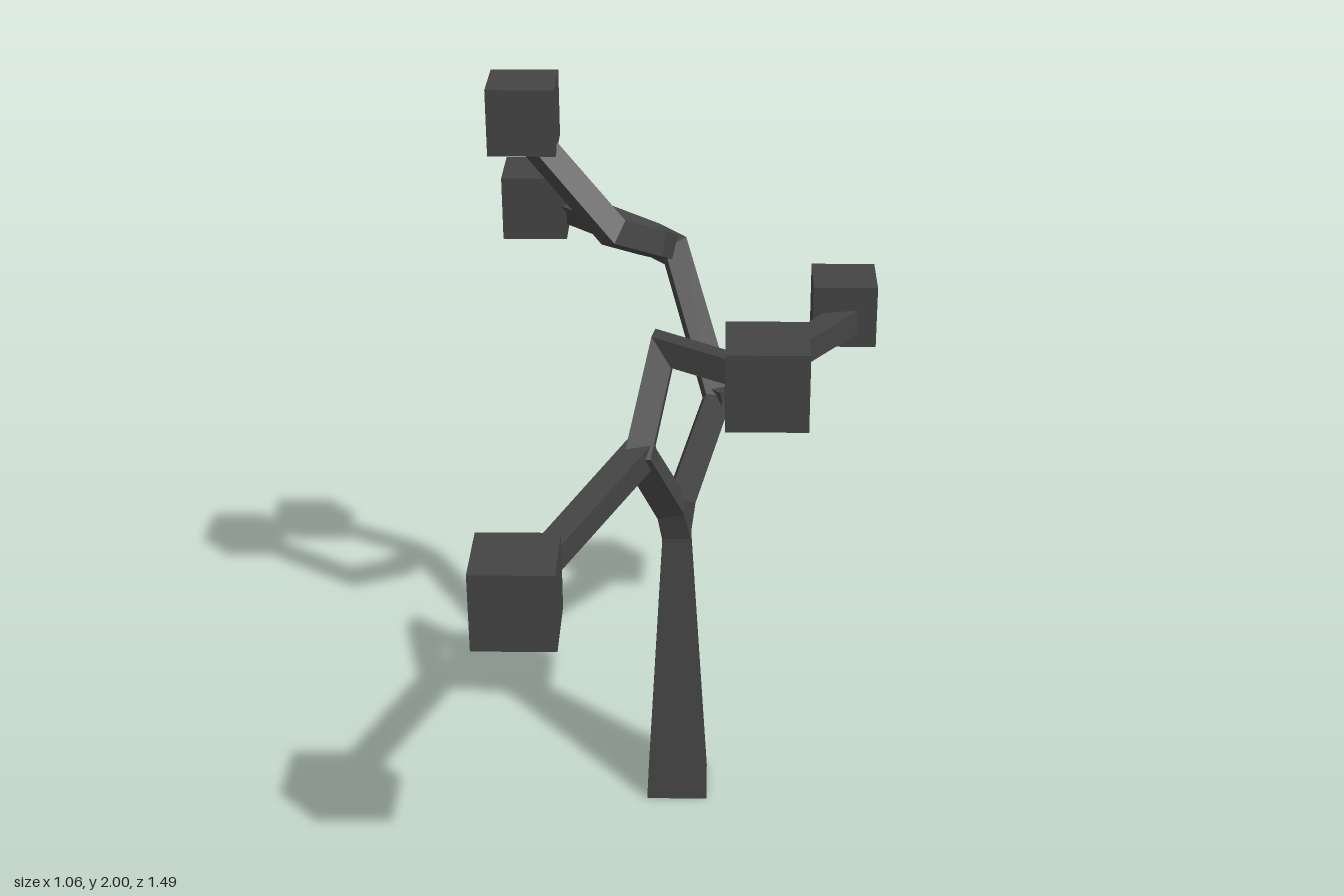
import * as THREE from 'three';

const V = (p) => new THREE.Vector3(...p);

// Square beam swept along a path with mitred bends; half = half-width at each point
function beam(path, half, sideHint) {
  const pts = path.map(V);
  const n = pts.length;
  const dirs = pts.slice(1).map((p, i) => p.clone().sub(pts[i]).normalize());
  const s = sideHint ? V(sideHint) : dirs[0].clone().cross(new THREE.Vector3(0, 1, 0));
  s.addScaledVector(dirs[0], -s.dot(dirs[0])).normalize();
  const u = dirs[0].clone().cross(s);
  // unit corner offsets, carried from one mitre plane to the next
  let offs = [[1, 1], [-1, 1], [-1, -1], [1, -1]].map(([a, b]) =>
    s.clone().multiplyScalar(a).addScaledVector(u, b));
  const rings = pts.map((p, i) => {
    if (i > 0) {
      const t = dirs[i - 1];
      const m = t.clone().add(dirs[Math.min(i, n - 2)]).normalize();
      offs = offs.map((o) => o.clone().addScaledVector(t, -o.dot(m) / t.dot(m)));
    }
    return offs.map((o) => p.clone().addScaledVector(o, half[i]));
  });
  const pos = [];
  const tri = (...v) => v.forEach((q) => pos.push(q.x, q.y, q.z));
  for (let i = 0; i < n - 1; i++) {
    for (let j = 0; j < 4; j++) {
      const k = (j + 1) % 4;
      const [a, b, c, d] = [rings[i][j], rings[i][k], rings[i + 1][k], rings[i + 1][j]];
      tri(a, b, c);
      tri(a, c, d);
    }
  }
  const [f, l] = [rings[0], rings[n - 1]];
  tri(f[0], f[2], f[1]);
  tri(f[0], f[3], f[2]);
  tri(l[0], l[1], l[2]);
  tri(l[0], l[2], l[3]);
  const geo = new THREE.BufferGeometry();
  geo.setAttribute('position', new THREE.Float32BufferAttribute(pos, 3));
  geo.computeVertexNormals();
  return geo;
}

export function createModel() {
  const tree = new THREE.Group();
  tree.name = 'tree';
  const mat = new THREE.MeshStandardMaterial({ color: 0x444444, flatShading: true });
  const add = (name, geo) => {
    const mesh = new THREE.Mesh(geo, mat);
    mesh.name = name;
    tree.add(mesh);
    return mesh;
  };

  // Joints of the skeleton
  const fork = [-0.03, 0.83, 0];
  const frontJoint = [-0.125, 1.14, 0.15];
  const backJoint = [0.08, 1.19, -0.1];
  const highJoint = [-0.04, 1.48, -0.43];

  // Foliage cubes: centre and edge length
  const cubes = {
    topFoliage: [[-0.44, 1.912, -0.318], 0.18],
    backFoliage: [[-0.44, 1.55, -0.655], 0.18],
    frontLeftFoliage: [[0.205, 1.378, 0.177], 0.213],
    backLeftFoliage: [[0.437, 1.275, -0.535], 0.18],
    frontRightFoliage: [[-0.412, 1.008, 0.638], 0.213],
  };
  for (const [name, [c, size]] of Object.entries(cubes)) {
    add(name, new THREE.BoxGeometry(size, size, size)).position.set(...c);
  }

  // Tapered trunk
  add('trunk', beam([[-0.03, 0, 0], fork], [0.085, 0.038], [1, 0, 0]));

  // Main limbs rising from the fork
  add('frontLimb', beam(
    [fork, [-0.045, 0.92, 0.025], frontJoint, [-0.065, 1.37, -0.015], [0.19, 1.37, 0.165]],
    [0.038, 0.037, 0.035, 0.034, 0.033], [1, 0, 0]));
  add('backLimb', beam(
    [fork, [-0.015, 0.93, -0.015], backJoint, highJoint, [-0.1, 1.49, -0.485], [-0.43, 1.56, -0.645]],
    [0.038, 0.037, 0.035, 0.034, 0.034, 0.033], [1, 0, 0]));

  // Side branches
  add('frontRightBranch', beam([[-0.11, 1.145, 0.125], [-0.41, 1.005, 0.63]], [0.036, 0.034]));
  add('backLeftBranch', beam([[0.065, 1.185, -0.085], [0.45, 1.262, -0.47]], [0.036, 0.035]));
  add('topBranch', beam(
    [[-0.06, 1.475, -0.47], [-0.1, 1.55, -0.31], [-0.2, 1.62, -0.205], [-0.44, 1.87, -0.315]],
    [0.035, 0.035, 0.034, 0.033]));

  return tree;
}
